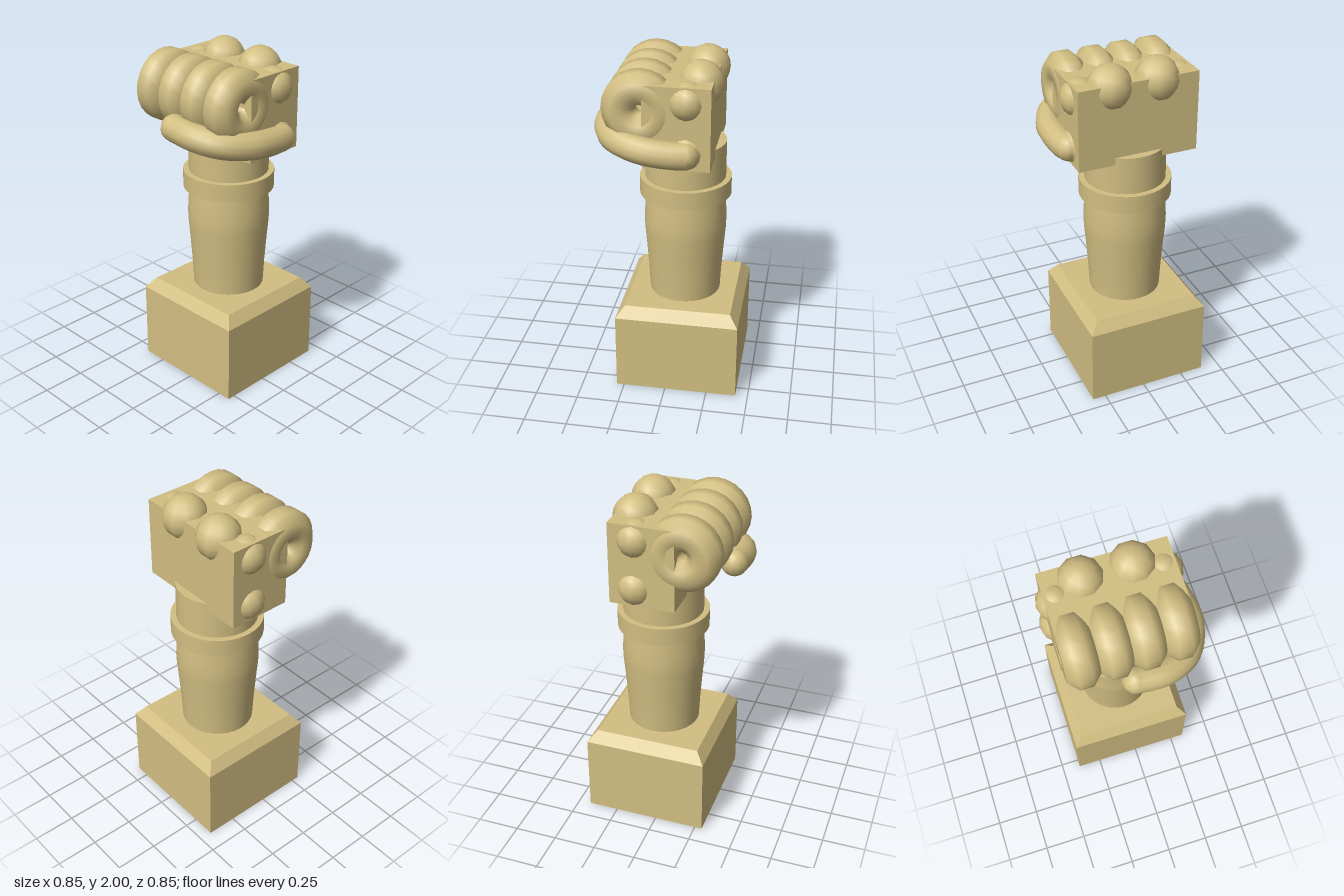
import * as THREE from 'three';

export function createModel() {
  const group = new THREE.Group();
  const sandstone = new THREE.MeshStandardMaterial({ color: 0xd2be82 });
  sandstone.name = 'sandstone';

  const add = (name, geometry, x = 0, y = 0, z = 0) => {
    const mesh = new THREE.Mesh(geometry, sandstone);
    mesh.name = name;
    mesh.position.set(x, y, z);
    group.add(mesh);
    return mesh;
  };
  const axisX = -0.03, axisZ = -0.066;

  // Square pedestal with a bevelled top
  add('pedestal', new THREE.BoxGeometry(0.72, 0.47, 0.72), axisX, 0.235, axisZ);
  const bevel = new THREE.CylinderGeometry(0.31 * Math.SQRT2, 0.36 * Math.SQRT2, 0.065, 4)
    .rotateY(Math.PI / 4).toNonIndexed();
  bevel.computeVertexNormals();
  add('pedestalBevel', bevel, axisX, 0.5025, axisZ);

  // Swelling forearm
  const profile = [
    [0.21, 0.53], [0.217, 0.67], [0.228, 0.82], [0.238, 0.94],
    [0.24, 1.0], [0.236, 1.08], [0.228, 1.18],
  ].map(([r, y]) => new THREE.Vector2(r, y));
  add('forearm', new THREE.LatheGeometry(profile, 32), axisX, 0, axisZ);

  // Wrist and its band
  add('wristBand', new THREE.CylinderGeometry(0.265, 0.265, 0.105, 32), axisX, 1.2175, axisZ);
  add('wrist', new THREE.CylinderGeometry(0.232, 0.232, 0.32, 32), axisX, 1.33, axisZ);

  // Blocky palm
  add('palm', new THREE.BoxGeometry(0.7, 0.467, 0.37), -0.03, 1.68, -0.065);

  // Four curled fingers: rings whose section is an octagon with flat ends
  const section = [];
  for (let i = 0; i <= 8; i++) {
    const a = Math.PI / 8 + (i * Math.PI) / 4;
    section.push(new THREE.Vector2(0.117 + 0.097 * Math.cos(a), 0.097 * Math.sin(a)));
  }
  for (const x of [-0.293, -0.116, 0.056, 0.232]) {
    const ring = new THREE.TorusGeometry(0.117, 0.097, 8, 24);
    // turn the section half a step so that a flat faces outward
    const p = ring.attributes.position;
    const n = ring.attributes.normal;
    for (let j = 0; j <= 8; j++) {
      for (let i = 0; i <= 24; i++) {
        const k = j * 25 + i;
        const u = (i / 24) * Math.PI * 2, v = Math.PI / 8 + (j * Math.PI) / 4;
        p.setXYZ(k, section[j].x * Math.cos(u), section[j].x * Math.sin(u), section[j].y);
        n.setXYZ(k, Math.cos(v) * Math.cos(u), Math.cos(v) * Math.sin(u), Math.sin(v));
      }
    }
    add('finger', ring.rotateY(Math.PI / 2), x, 1.761, 0.145);
  }

  // Thumb wrapping from the side across the fingers, with rounded ends
  const path = [
    [-0.035, 1.62, 0.345], [0.13, 1.607, 0.345], [0.265, 1.583, 0.275],
    [0.343, 1.56, 0.12], [0.338, 1.54, -0.06], [0.325, 1.538, -0.115],
  ].map((c) => new THREE.Vector3(...c));
  const thumbRadius = 0.077;
  add('thumb', new THREE.TubeGeometry(new THREE.CatmullRomCurve3(path), 20, thumbRadius, 12));
  for (const end of [path[0], path[path.length - 1]]) {
    add('thumbEnd', new THREE.SphereGeometry(thumbRadius, 12, 8), end.x, end.y, end.z);
  }

  // Knuckles: two large on top, four smaller at the palm's sides
  for (const side of [-1, 1]) {
    add('topKnuckle', new THREE.SphereGeometry(0.127, 10, 10), axisX + side * 0.138, 1.873, -0.168);
    for (const y of [1.82, 1.54]) {
      add('sideKnuckle', new THREE.SphereGeometry(0.107, 12, 10), axisX + side * 0.288, y, -0.115);
    }
  }
  return group;
}
